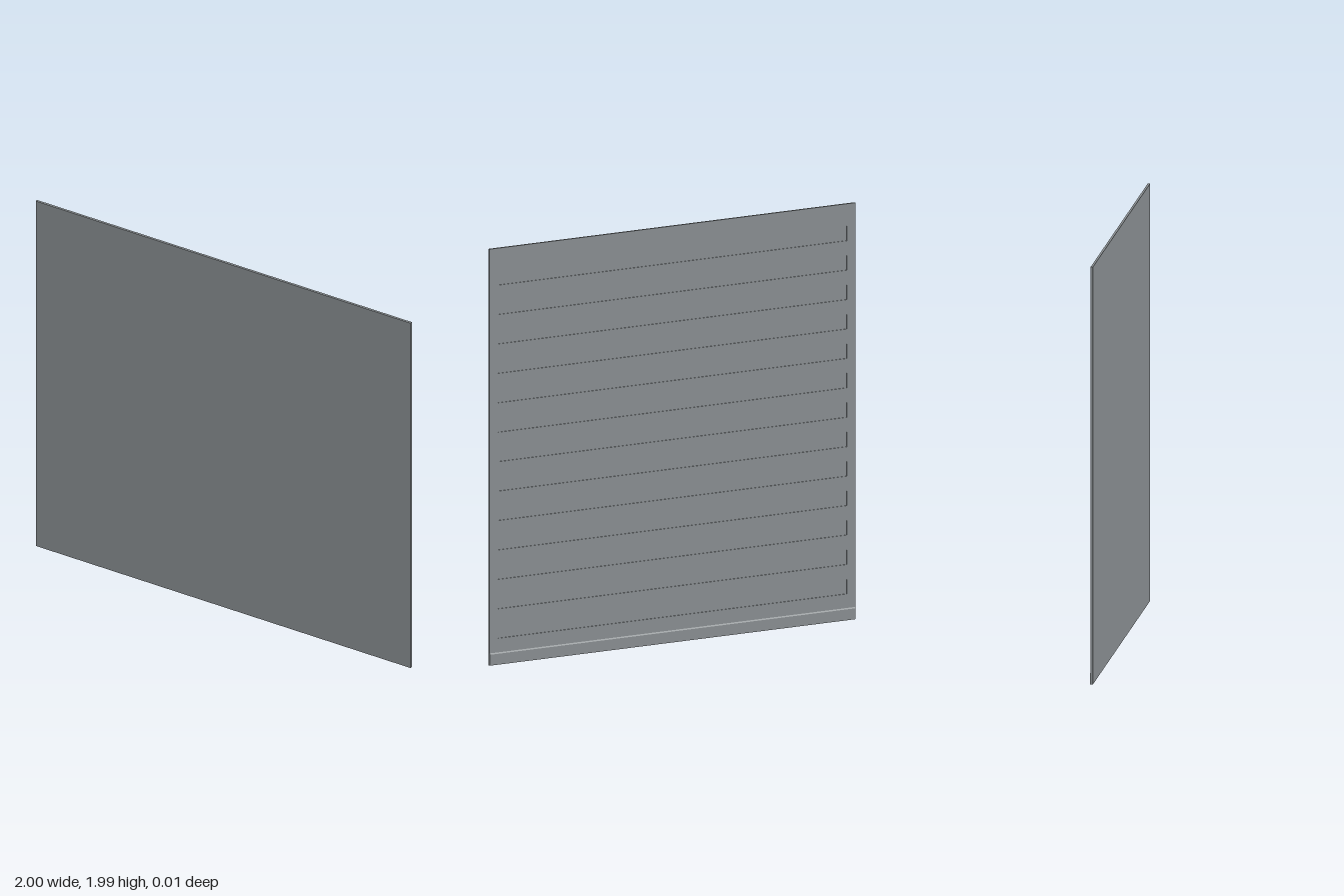
import * as THREE from 'three';

const WIDTH = 2, HEIGHT = 1.985;
const FRONT = 0.007, FLOOR = 0, BACK = -0.004, STRIP_BACK = -0.007;
const SLOTS = 13, SLOT_HALF = 0.955, SLOT_HEIGHT = 0.07, SLOT_FIRST = 0.125, SLOT_STEP = 0.1403;

// Traces a rectangle from its lower left corner
function rect(path, x, y, w, h) {
  path.moveTo(x, y);
  path.lineTo(x + w, y);
  path.lineTo(x + w, y + h);
  path.lineTo(x, y + h);
  path.closePath();
  return path;
}

export function createModel() {
  const group = new THREE.Group();
  group.name = 'slottedPanel';
  const material = new THREE.MeshStandardMaterial({ color: 0x878c8f });

  const add = (name, geometry, x, y, z) => {
    const mesh = new THREE.Mesh(geometry, material);
    mesh.name = name;
    mesh.position.set(x, y, z);
    group.add(mesh);
  };

  // Plain front sheet, which also forms the floor of the slots
  add('frontSheet', new THREE.BoxGeometry(WIDTH, HEIGHT, FRONT - FLOOR),
    0, HEIGHT / 2, (FRONT + FLOOR) / 2);

  // Back layer with a column of long recessed slots
  const outline = rect(new THREE.Shape(), -WIDTH / 2, 0, WIDTH, HEIGHT);
  for (let i = 0; i < SLOTS; i++) {
    outline.holes.push(rect(new THREE.Path(), -SLOT_HALF, SLOT_FIRST + i * SLOT_STEP, SLOT_HALF * 2, SLOT_HEIGHT));
  }
  add('slottedBack', new THREE.ExtrudeGeometry(outline, { depth: FLOOR - BACK, bevelEnabled: false }),
    0, 0, BACK);

  // Raised strip along the bottom of the back, its top edge sloped
  const profile = new THREE.Shape([
    new THREE.Vector2(-BACK, 0),
    new THREE.Vector2(-STRIP_BACK, 0),
    new THREE.Vector2(-STRIP_BACK, 0.052),
    new THREE.Vector2(-BACK, 0.058),
  ]);
  const strip = new THREE.ExtrudeGeometry(profile, { depth: WIDTH, bevelEnabled: false });
  strip.rotateY(Math.PI / 2);
  add('bottomStrip', strip, -WIDTH / 2, 0, 0);

  return group;
}
